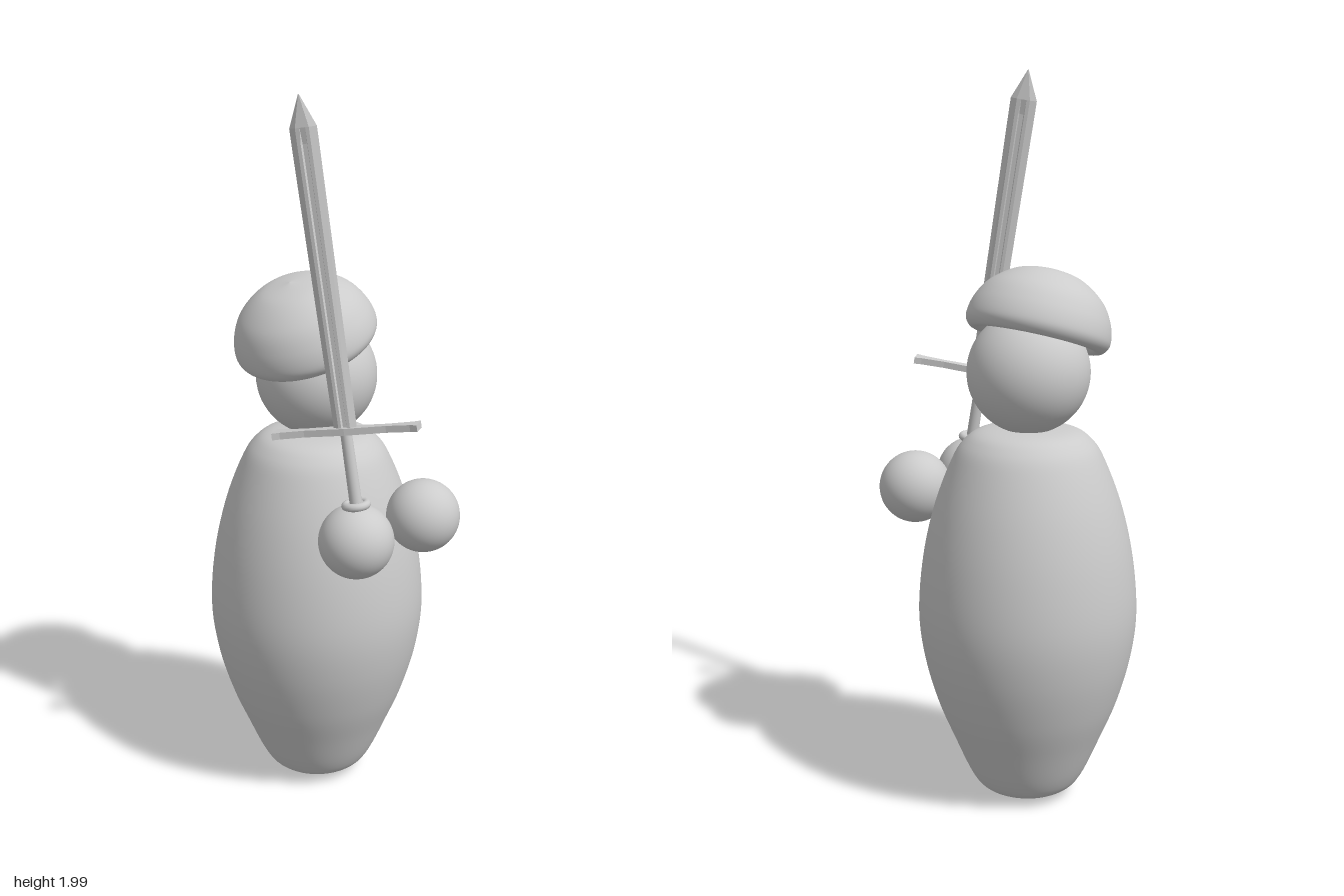
import * as THREE from 'three';

const material = new THREE.MeshStandardMaterial({ color: 0xcccccc });
const doubleMat = new THREE.MeshStandardMaterial({ color: 0xcccccc, side: THREE.DoubleSide });
const flatMat = new THREE.MeshStandardMaterial({ color: 0xcccccc, flatShading: true });

function add(parent, name, geometry, mat = material, x = 0, y = 0, z = 0) {
  const mesh = new THREE.Mesh(geometry, mat);
  mesh.name = name;
  mesh.position.set(x, y, z);
  parent.add(mesh);
  return mesh;
}

// Smooth surface of revolution through a few [radius, height] points
function smoothLathe(points, steps) {
  const curve = new THREE.SplineCurve(points.map(([r, y]) => new THREE.Vector2(r, y)));
  const profile = curve.getPoints(steps);
  profile.forEach((p) => { p.x = Math.max(p.x, 0); });
  return new THREE.LatheGeometry(profile, 64);
}

// Blade skinned over cross-sections: [height, half width, half thickness, fuller depth factor]
function bladeGeometry() {
  const sections = [
    [0, 0.031, 0.010, 0.35],
    [0.73, 0.036, 0.010, 0.35],
    [0.77, 0.036, 0.010, 1],
    [0.85, 0.001, 0.001, 1],
  ];
  const positions = [];
  for (const [y, w, t, f] of sections) {
    const half = [[1, 0], [0.5, 1], [0.24, 1], [0.16, f], [-0.16, f], [-0.24, 1], [-0.5, 1]];
    for (const side of [1, -1]) {
      for (const [u, v] of half) positions.push(side * u * w, y, side * v * t);
    }
  }
  const n = 14;
  const index = [];
  for (let i = 0; i < sections.length - 1; i++) {
    for (let j = 0; j < n; j++) {
      const a = i * n + j, b = i * n + (j + 1) % n;
      index.push(a, a + n, b, b, a + n, b + n);
    }
  }
  const g = new THREE.BufferGeometry();
  g.setAttribute('position', new THREE.Float32BufferAttribute(positions, 3));
  g.setIndex(index);
  const flat = g.toNonIndexed();
  flat.computeVertexNormals();
  return flat;
}

// Crossguard with flared ends, extruded along the blade axis
function guardGeometry() {
  const outline = [[0, 0.017], [0.035, 0.015], [0.11, 0.011], [0.175, 0.017], [0.195, 0.023]];
  const corners = [
    ...outline,
    ...[...outline].reverse().map(([x, z]) => [x, -z]),
    ...outline.slice(1).map(([x, z]) => [-x, -z]),
    ...outline.slice(1).reverse().map(([x, z]) => [-x, z]),
  ];
  const shape = new THREE.Shape(corners.map(([x, z]) => new THREE.Vector2(x, z)));
  const g = new THREE.ExtrudeGeometry(shape, { depth: 0.018, bevelEnabled: false });
  g.translate(0, 0, -0.009);
  g.rotateX(-Math.PI / 2);
  return g;
}

function createSword() {
  const sword = new THREE.Group();
  sword.name = 'sword';
  add(sword, 'blade', bladeGeometry(), flatMat);
  add(sword, 'crossguard', guardGeometry(), flatMat);
  add(sword, 'grip', new THREE.CylinderGeometry(0.015, 0.017, 0.27, 24), material, 0, -0.135, 0);
  // Rounded collar where the grip enters the hand
  const collar = add(sword, 'collar', new THREE.TorusGeometry(0.028, 0.011, 12, 40), material, 0, -0.2, 0);
  collar.rotation.x = Math.PI / 2;
  add(sword, 'collarDisc', new THREE.CylinderGeometry(0.028, 0.028, 0.014, 40), material, 0, -0.2, 0);

  // Lean the sword back, with the guard running diagonally
  const up = new THREE.Vector3(-0.042, 0.986, -0.162).normalize();
  const across = new THREE.Vector3(0.54, 0.18, 0.823);
  across.addScaledVector(up, -across.dot(up)).normalize();
  const depth = new THREE.Vector3().crossVectors(across, up);
  sword.quaternion.setFromRotationMatrix(new THREE.Matrix4().makeBasis(across, up, depth));
  sword.position.set(-0.136, 1.16, 0.204);
  return sword;
}

export function createModel() {
  const model = new THREE.Group();
  model.name = 'swordFigure';

  // Barrel-shaped body
  add(model, 'body', smoothLathe([
    [0, 0.01], [0.07, 0.017], [0.125, 0.036], [0.16, 0.08], [0.205, 0.18], [0.25, 0.29],
    [0.286, 0.42], [0.3, 0.55], [0.287, 0.7], [0.256, 0.84], [0.212, 0.96],
    [0.175, 1.022], [0.12, 1.054], [0, 1.064],
  ], 80), material, 0, 0, -0.078);

  add(model, 'head', new THREE.SphereGeometry(0.166, 48, 32), material, 0.008, 1.212, -0.085);

  // Tilted beret: tucked underside, puffy rim and dome
  const beret = add(model, 'beret', smoothLathe([
    [0.1, 0.01], [0.135, -0.008], [0.16, -0.029], [0.182, -0.028], [0.197, 0],
    [0.186, 0.052], [0.152, 0.105], [0.085, 0.15], [0, 0.166],
  ], 60), doubleMat, -0.022, 1.325, -0.093);
  beret.rotation.z = THREE.MathUtils.degToRad(19.5);

  // Floating hands
  const hand = new THREE.SphereGeometry(0.1, 48, 32);
  add(model, 'rightHand', hand, material, -0.128, 0.861, 0.238);
  add(model, 'leftHand', hand, material, 0.117, 0.866, 0.232);

  model.add(createSword());
  return model;
}
